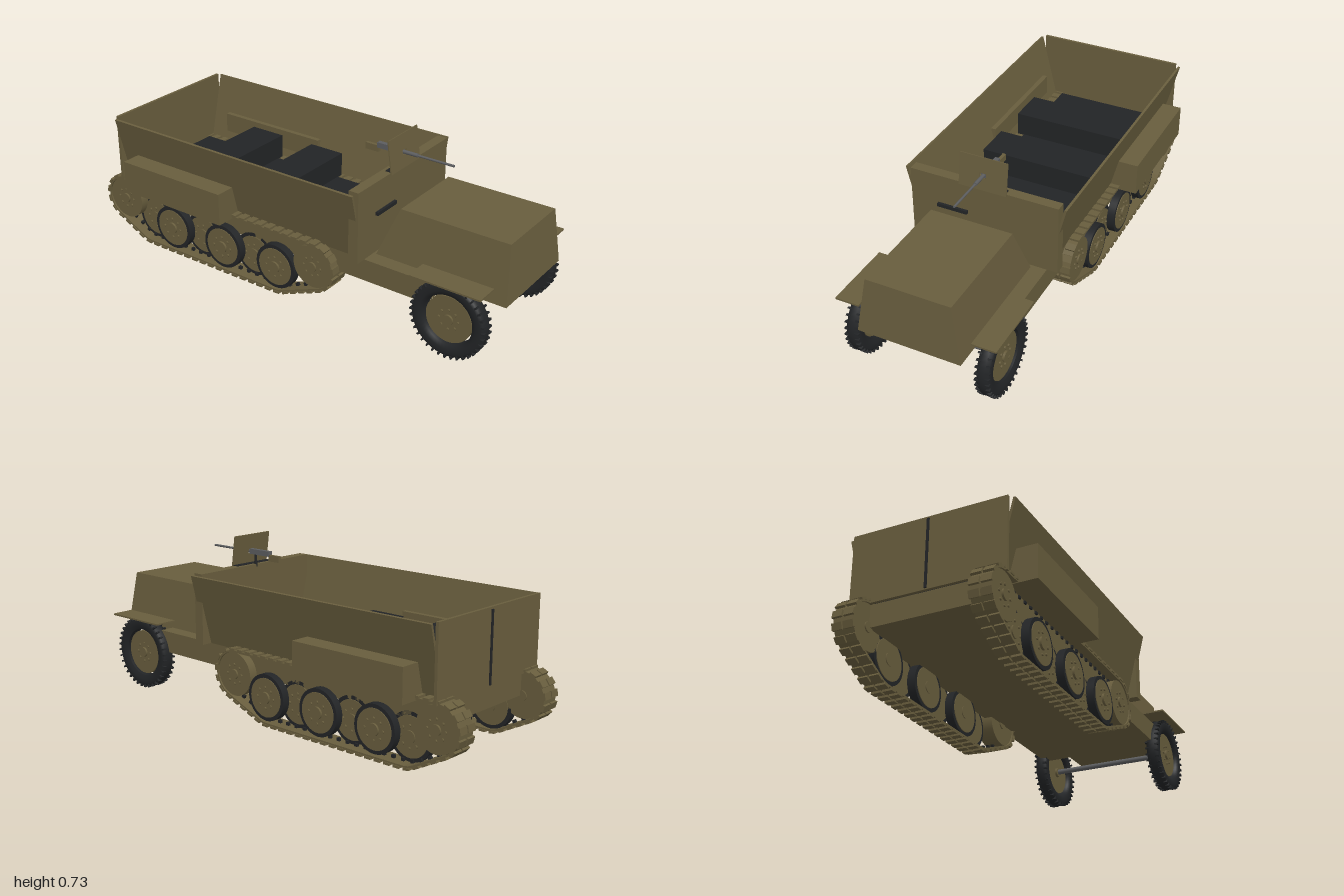
import * as THREE from 'three';
import { mergeGeometries } from 'three/addons/utils/BufferGeometryUtils.js';

const mat = (name, color, side = THREE.FrontSide) => {
  const m = new THREE.MeshStandardMaterial({ color, side });
  m.name = name;
  return m;
};

export function createModel() {
  const olive = mat('olive paint', 0x685d3d);
  const rubber = mat('black rubber', 0x222426);
  const steel = mat('gun steel', 0x5c5d5f);
  const model = new THREE.Group();

  const add = (name, geo, material, parent = model) => {
    const m = new THREE.Mesh(geo, material);
    m.name = name;
    parent.add(m);
    return m;
  };
  // box given by its limits
  const span = (x0, x1, y0, y1, z0, z1) =>
    new THREE.BoxGeometry(x1 - x0, y1 - y0, z1 - z0)
      .translate((x0 + x1) / 2, (y0 + y1) / 2, (z0 + z1) / 2);
  // cylinder lying along x
  const axle = (r, x0, x1, y, z, n = 32) =>
    new THREE.CylinderGeometry(r, r, x1 - x0, n).rotateZ(Math.PI / 2)
      .translate((x0 + x1) / 2, y, z);
  // cylinder lying along z
  const rod = (r, z0, z1, x, y, n = 16) =>
    new THREE.CylinderGeometry(r, r, z1 - z0, n).rotateX(Math.PI / 2)
      .translate(x, y, (z0 + z1) / 2);
  // limits mirrored to side s
  const sideSpan = (s, a, b, ...rest) => span(Math.min(s * a, s * b), Math.max(s * a, s * b), ...rest);
  const sideAxle = (s, r, a, b, ...rest) => axle(r, Math.min(s * a, s * b), Math.max(s * a, s * b), ...rest);
  // ring of bolts on a wheel face
  const bolts = (s, x, y, z, ring, count) => mergeGeometries(
    Array.from({ length: count }, (_, i) => {
      const a = (i / count) * Math.PI * 2;
      return sideAxle(s, 0.006, x, x + 0.006, y + ring * Math.sin(a), z + ring * Math.cos(a), 8);
    }));

  // hull and tapered hood
  add('hull', span(-0.28, 0.28, 0.19, 0.285, -0.88, 0.69), olive);
  const hood = new THREE.BoxGeometry(2, 2, 2);
  const p = hood.attributes.position;
  for (let i = 0; i < p.count; i++) {
    const top = p.getY(i) > 0, front = p.getZ(i) > 0;
    p.setXYZ(i, p.getX(i) * (top ? 0.18 : 0.22), top ? 0.498 : 0.253,
      front ? (top ? 0.98 : 1.0) : (top ? 0.5 : 0.4));
  }
  hood.computeVertexNormals();
  add('hood', hood, olive);

  // troop compartment
  add('frontPlate', span(-0.327, 0.327, 0.285, 0.594, 0.355, 0.4), olive);
  add('rearPlate', span(-0.332, 0.332, 0.285, 0.594, -0.895, -0.882), olive);
  add('rearDoorSeam', span(-0.005, 0.005, 0.29, 0.585, -0.9, -0.894), rubber);
  add('visionSlit', span(-0.205, -0.07, 0.45, 0.465, 0.4, 0.412), rubber);
  add('floorMat', span(-0.235, 0.235, 0.28, 0.305, -0.87, 0.354), rubber);
  for (const z of [-0.61, -0.27])
    add('seat', span(-0.265, 0.265, 0.29, 0.41, z, z + 0.17), rubber);

  for (const s of [1, -1]) {
    // outward leaning side wall
    const wall = new THREE.Shape([[0.27, 0.285], [0.28, 0.285], [0.356, 0.587], [0.346, 0.589]]
      .map(([x, y]) => new THREE.Vector2(s * x, y)));
    add('sideWall', new THREE.ExtrudeGeometry(wall, { depth: 1.27, bevelEnabled: false })
      .translate(0, 0, -0.88), olive);
    add('stowageBin', sideSpan(s, 0.283, 0.403, 0.283, 0.426, -0.795, -0.248), olive);
    add('fender', sideSpan(s, 0.24, 0.343, 0.324, 0.331, 0.645, 0.955), olive);
    addFrontWheel(s);
    addTrack(s);
  }
  add('frontAxle', axle(0.012, -0.27, 0.27, 0.168, 0.8, 20), steel);

  function addFrontWheel(s) {
    const g = new THREE.Group();
    g.name = 'frontWheel';
    model.add(g);
    const cx = s * 0.282, y = 0.166, z = 0.8;
    // closed rounded tyre section
    const section = [[0.108, -0.02], [0.125, -0.028], [0.145, -0.029], [0.156, -0.024], [0.162, -0.012],
      [0.162, 0.012], [0.156, 0.024], [0.145, 0.029], [0.125, 0.028], [0.108, 0.02], [0.108, -0.02]]
      .map(([r, h]) => new THREE.Vector2(r, h));
    add('tyre', new THREE.LatheGeometry(section, 48).rotateZ(Math.PI / 2).translate(cx, y, z), rubber, g);
    // staggered tread lugs
    const lugs = [];
    for (let i = 0; i < 72; i++)
      lugs.push(new THREE.BoxGeometry(0.018, 0.014, 0.007)
        .translate((i % 2 ? 1 : -1) * 0.022, 0.157, 0)
        .rotateX((i / 72) * Math.PI * 2).translate(cx, y, z));
    add('treadLugs', mergeGeometries(lugs), rubber, g);
    add('rimDisc', sideAxle(s, 0.1, 0.27, 0.295, y, z, 40), olive, g);
    add('hubCap', sideAxle(s, 0.022, 0.26, 0.304, y, z, 20), olive, g);
    add('wheelBolts', bolts(s, 0.295, y, z, 0.042, 8), olive, g);
  }

  function addTrack(s) {
    const g = new THREE.Group();
    g.name = 'trackUnit';
    model.add(g);
    // belt path hugging four equal circles, as z and y
    const centres = [[0.17, 0.19], [-0.02, 0.114], [-0.74, 0.114], [-0.887, 0.19]];
    const path = [];
    for (let i = 0; i < 90; i++) {
      const a = (i / 90) * Math.PI * 2 + 0.01, c = Math.cos(a), d = Math.sin(a);
      const best = centres.reduce((m, q) => (q[0] * c + q[1] * d > m[0] * c + m[1] * d ? q : m));
      path.push(new THREE.Vector2(best[0] + 0.1 * c, best[1] + 0.1 * d));
    }
    path.push(path[0].clone());
    const curve = new THREE.Shape(path);
    const links = 60, pitch = curve.getLength() / links;
    const pts = curve.getSpacedPoints(links * 2);
    const belt = [], horns = [];
    for (let i = 0; i < links * 2; i++) {
      const a = pts[i], b = pts[i + 1];
      const turn = Math.atan2(a.y - b.y, b.x - a.x);
      const place = geo => geo.rotateX(turn).translate(s * 0.281, (a.y + b.y) / 2, (a.x + b.x) / 2);
      belt.push(place(new THREE.BoxGeometry(0.086, 0.008, pitch * 0.53)));
      if (i % 2) continue;
      // twin outer pads and an inner guide horn
      for (const x of [-0.025, 0.025])
        belt.push(place(new THREE.BoxGeometry(0.043, 0.01, pitch * 0.62).translate(x, -0.008, 0)));
      horns.push(place(new THREE.BoxGeometry(0.012, 0.014, 0.014).translate(0, 0.01, 0)));
    }
    add('trackBelt', mergeGeometries(belt), olive, g);
    add('guideHorns', mergeGeometries(horns), rubber, g);

    // drive sprocket and rear idler
    for (const [z, y] of [centres[0], centres[3]]) {
      add('sprocket', sideAxle(s, 0.095, 0.245, 0.318, y, z, 36), olive, g);
      add('sprocketHub', sideAxle(s, 0.022, 0.24, 0.326, y, z, 20), olive, g);
      add('sprocketBolts', bolts(s, 0.318, y, z, 0.042, 8), olive, g);
    }
    // overlapping road wheels, outer row then inner row
    const roadWheel = (z, y, x0, x1, hub) => {
      add('roadTyre', sideAxle(s, 0.1, x0, x1, y, z, 36), rubber, g);
      add('roadDisc', sideAxle(s, 0.084, x0 - 0.003, x1 + 0.003, y, z, 36), olive, g);
      add('roadHub', sideAxle(s, 0.026, x0 - 0.006, hub, y, z, 20), olive, g);
      add('roadBolts', bolts(s, x1 + 0.003, y, z, 0.045, 8), olive, g);
    };
    for (const z of [-0.02, -0.31, -0.6]) roadWheel(z, 0.127, 0.288, 0.322, 0.334);
    for (const z of [-0.165, -0.455, -0.74]) roadWheel(z, 0.12, 0.245, 0.28, 0.288);
  }

  // machine gun with slanted shield
  const gun = new THREE.Group();
  gun.name = 'machineGun';
  model.add(gun);
  const plate = new THREE.Shape([[-0.105, 0], [0.105, 0], [0.105, 0.142], [-0.105, 0.142]]
    .map(([x, y]) => new THREE.Vector2(x, y)));
  plate.holes.push(new THREE.Path([[-0.014, 0.054], [-0.014, 0.074], [0.014, 0.074], [0.014, 0.054]]
    .map(([x, y]) => new THREE.Vector2(x, y))));
  add('gunShield', new THREE.ExtrudeGeometry(plate, { depth: 0.005, bevelEnabled: false })
    .rotateX(-0.14).translate(0, 0.585, 0.4), olive, gun);
  add('barrel', rod(0.005, 0.39, 0.625, 0, 0.648), steel, gun);
  add('barrelJacket', rod(0.008, 0.38, 0.46, 0, 0.648), steel, gun);
  add('receiver', span(-0.01, 0.01, 0.637, 0.66, 0.27, 0.39), steel, gun);
  add('gunStock', span(-0.007, 0.007, 0.617, 0.645, 0.212, 0.275), olive, gun);
  add('gunPost', new THREE.CylinderGeometry(0.006, 0.006, 0.06, 12).translate(0, 0.612, 0.36), rubber, gun);
  add('gunMount', span(-0.1, 0.1, 0.588, 0.597, 0.372, 0.398), rubber, gun);

  return model;
}
